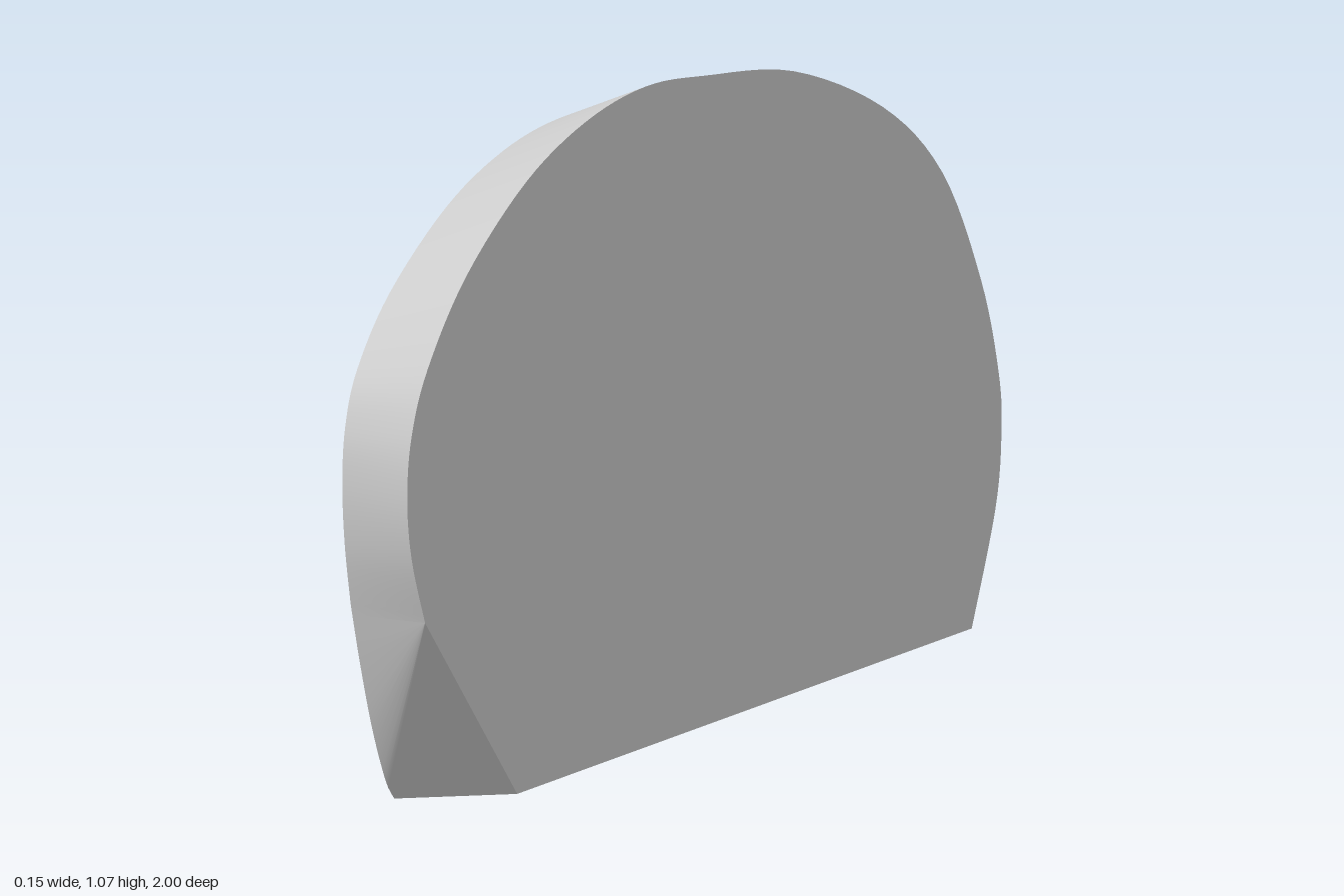
import * as THREE from 'three';

const HALF = 0.077; // half thickness of the slab

// Matching outline points [z, y], from the front over the top to the back
const LEFT = [[0.94, 0.33], [0.985, 0.44], [1, 0.54], [0.985, 0.64], [0.93, 0.74], [0.8, 0.867], [0.6, 0.983],
  [0.4, 1.045], [0.2, 1.067], [0, 1.05], [-0.3, 1.005], [-0.6, 0.895], [-0.8, 0.755], [-0.93, 0.56],
  [-0.99, 0.4], [-1, 0.3], [-0.98, 0.18], [-0.9, 0]];
const RIGHT = [[0.902, 0.34], [0.922, 0.44], [0.93, 0.54], [0.92, 0.63], [0.88, 0.715], [0.77, 0.82], [0.58, 0.925],
  [0.39, 0.982], [0.2, 1.002], [0, 0.99], [-0.29, 0.955], [-0.57, 0.855], [-0.76, 0.715], [-0.885, 0.535],
  [-0.945, 0.39], [-0.958, 0.29], [-0.95, 0.18], [-0.91, 0]];
// Lower front edge of the right face
const TOE = [[0.755, 0], [0.785, 0.035], [0.83, 0.127], [0.87, 0.237], [0.902, 0.34]];
const NOTCH = [0.63, 0]; // lower front corner of the left face

const smooth = (pts, n) =>
  new THREE.SplineCurve(pts.map(([z, y]) => new THREE.Vector2(z, y))).getPoints(n);

const place = (x, p) => new THREE.Vector3(x, p.y, p.x);

// Band of faces between two matching rows of points
function band(rowA, rowB) {
  const points = [], index = [];
  rowA.forEach((a, i) => {
    points.push(place(HALF, a), place(-HALF, rowB[i]));
    if (i === 0) return;
    const k = 2 * i - 2;
    if (a.distanceTo(rowA[i - 1]) > 1e-6) index.push(k, k + 2, k + 1);
    index.push(k + 1, k + 2, k + 3);
  });
  const geo = new THREE.BufferGeometry().setFromPoints(points);
  geo.setIndex(index);
  geo.computeVertexNormals();
  return geo;
}

// Flat face closing one side (side = 1 for +x, -1 for -x)
function cap(outline, side) {
  const shape = new THREE.Shape(outline.map(p => new THREE.Vector2(-side * p.x, p.y)));
  return new THREE.ShapeGeometry(shape).rotateY(side * Math.PI / 2).translate(side * HALF, 0, 0);
}

function flat(points, index) {
  const geo = new THREE.BufferGeometry().setFromPoints(points);
  geo.setIndex(index);
  geo.computeVertexNormals();
  return geo;
}

export function createModel() {
  const group = new THREE.Group();
  group.name = 'slab';
  const material = new THREE.MeshStandardMaterial({ color: 0xcccccc });
  const add = (name, geo) => {
    const mesh = new THREE.Mesh(geo, material);
    mesh.name = name;
    group.add(mesh);
  };

  const left = smooth(LEFT, 102);
  const right = smooth(RIGHT, 102);
  const toe = smooth(TOE, 16);
  const notch = new THREE.Vector2(...NOTCH);

  // Curved rim; at the lower front it fans out from one point of the left face
  const fan = toe.slice(0, -1);
  add('rim', band([...fan.map(() => left[0]), ...left], [...fan, ...right]));

  // Sloping flat cut at the lower front
  const corner = place(HALF, notch), heel = place(-HALF, toe[0]);
  add('frontCut', flat([corner, place(HALF, left[0]), heel], [0, 1, 2]));

  // Underside
  add('base', flat([corner, heel, place(-HALF, right.at(-1)), place(HALF, left.at(-1))], [0, 1, 2, 0, 2, 3]));

  // Side faces
  add('leftFace', cap([notch, ...left], 1));
  add('rightFace', cap([...fan, ...right], -1));
  return group;
}
